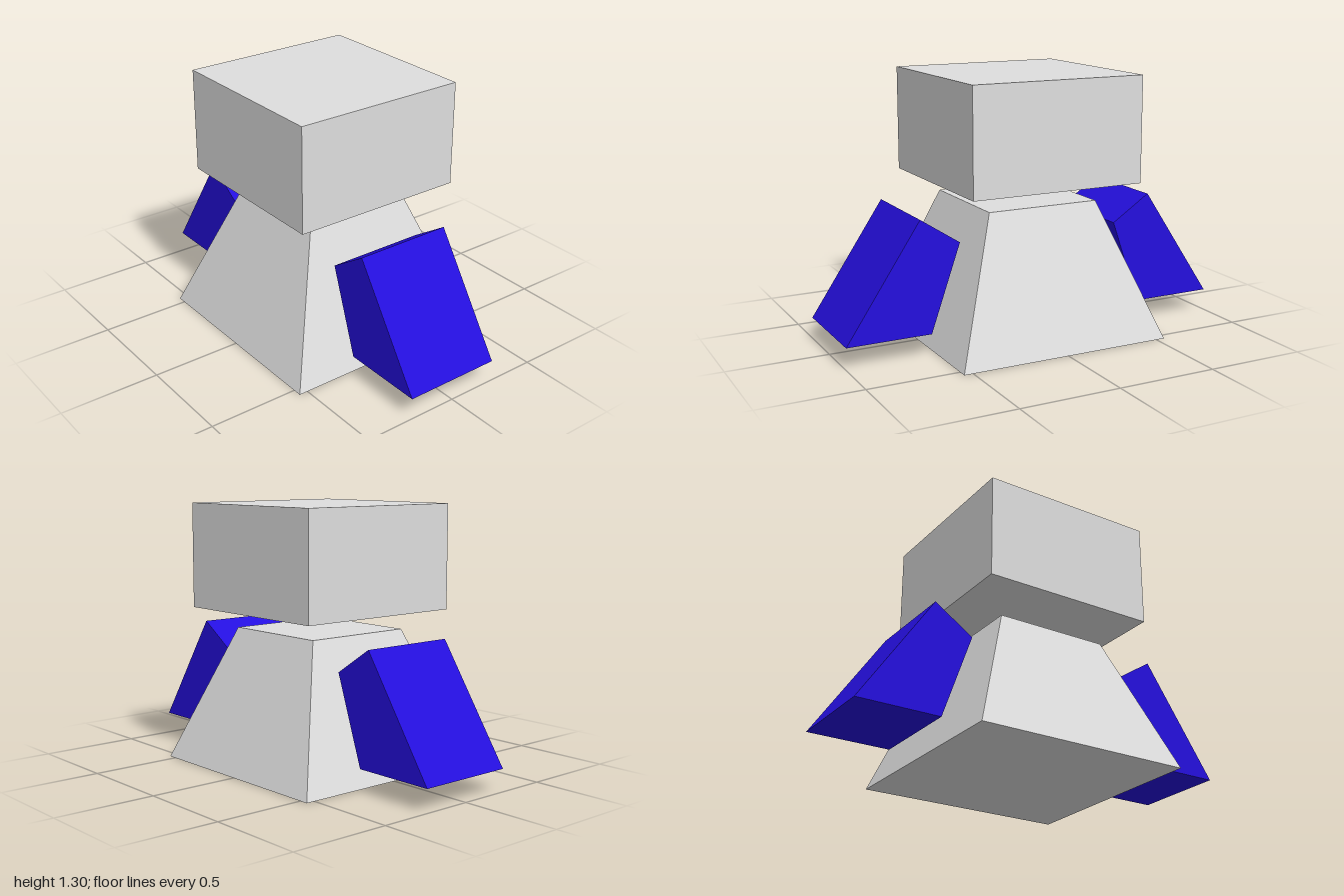
import * as THREE from 'three';

export function createModel() {
  const model = new THREE.Group();
  const grey = new THREE.MeshStandardMaterial({ color: 0xdedede });
  grey.name = 'light grey';
  const blue = new THREE.MeshStandardMaterial({ color: 0x250fde });
  blue.name = 'blue';

  const add = (name, geometry, material) => {
    const mesh = new THREE.Mesh(geometry, material);
    mesh.name = name;
    model.add(mesh);
  };

  // Body: square frustum with flat sides
  const bodyGeometry = new THREE.CylinderGeometry(0.29 * Math.SQRT2, 0.545 * Math.SQRT2, 0.677, 4)
    .rotateY(Math.PI / 4)
    .translate(0, 0.3385, 0)
    .toNonIndexed();
  bodyGeometry.computeVertexNormals();
  add('body', bodyGeometry, grey);

  // Head: block floating above the body
  add('head', new THREE.BoxGeometry(0.895, 0.525, 0.9).translate(0, 1.04, 0), grey);

  // Arms: mirrored four-sided prisms hanging beside the body
  const armPoints = [[0.625, 0.67], [0.425, 0.54], [0.575, 0.11], [1, 0.11]];
  for (const [name, side] of [['leftArm', 1], ['rightArm', -1]]) {
    const shape = new THREE.Shape(armPoints.map(([x, y]) => new THREE.Vector2(side * x, y)));
    const geometry = new THREE.ExtrudeGeometry(shape, { depth: 0.5, bevelEnabled: false });
    add(name, geometry.translate(0, 0, -0.25), blue);
  }

  return model;
}
